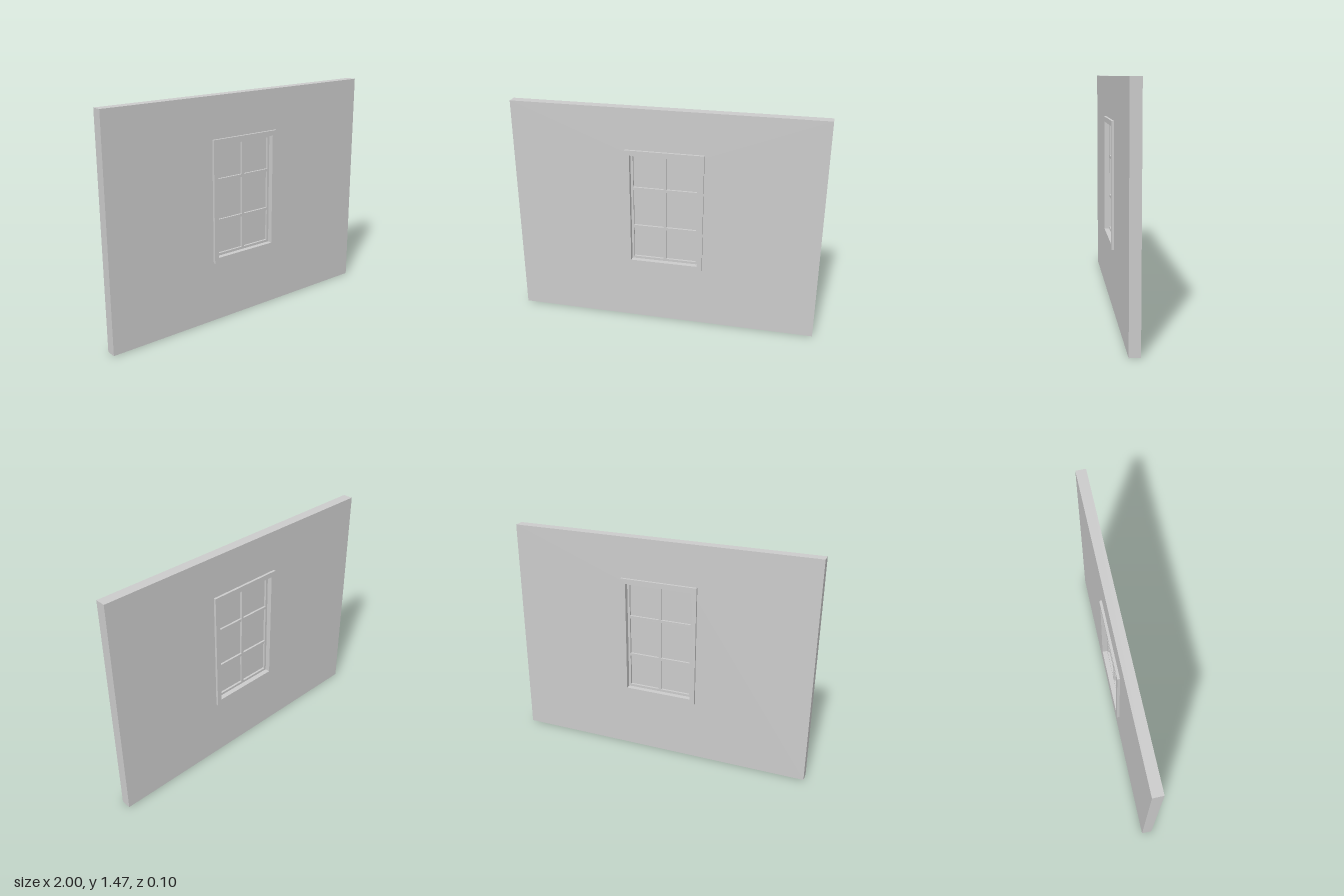
import * as THREE from 'three';

const material = new THREE.MeshStandardMaterial({ color: 0xcccccc });

function rect(PathType, x, y0, y1) {
  const p = new PathType();
  p.moveTo(-x, y0);
  p.lineTo(x, y0);
  p.lineTo(x, y1);
  p.lineTo(-x, y1);
  p.closePath();
  return p;
}

// Rectangular ring centred on z = 0; outer and inner are [halfWidth, bottom, top]
function ring(name, outer, inner, depth) {
  const shape = rect(THREE.Shape, ...outer);
  shape.holes.push(rect(THREE.Path, ...inner));
  const geometry = new THREE.ExtrudeGeometry(shape, { depth, bevelEnabled: false });
  geometry.translate(0, 0, -depth / 2);
  const mesh = new THREE.Mesh(geometry, material);
  mesh.name = name;
  return mesh;
}

function box(name, w, h, d, y) {
  const mesh = new THREE.Mesh(new THREE.BoxGeometry(w, h, d), material);
  mesh.position.y = y;
  mesh.name = name;
  return mesh;
}

export function createModel() {
  const model = new THREE.Group();
  model.name = 'wallWithWindow';

  const opening = [0.222, 0.433, 1.167];
  const sashInner = [0.207, 0.449, 1.153];

  // Wall with its window opening
  model.add(ring('wall', [1, 0, 1.467], opening, 0.066));

  // Window: casing proud of both wall faces, sash, glass and glazing bars
  const frame = new THREE.Group();
  frame.name = 'window';
  frame.add(ring('casing', [0.254, 0.4, 1.2], opening, 0.098));
  frame.add(ring('sash', opening, sashInner, 0.032));
  frame.add(box('glass', 0.42, 0.71, 0.004, 0.8));
  frame.add(box('verticalBar', 0.016, 0.704, 0.032, 0.801));
  for (const y of [0.667, 0.933]) {
    frame.add(box('horizontalBar', 0.414, 0.018, 0.031, y));
  }
  model.add(frame);
  return model;
}
